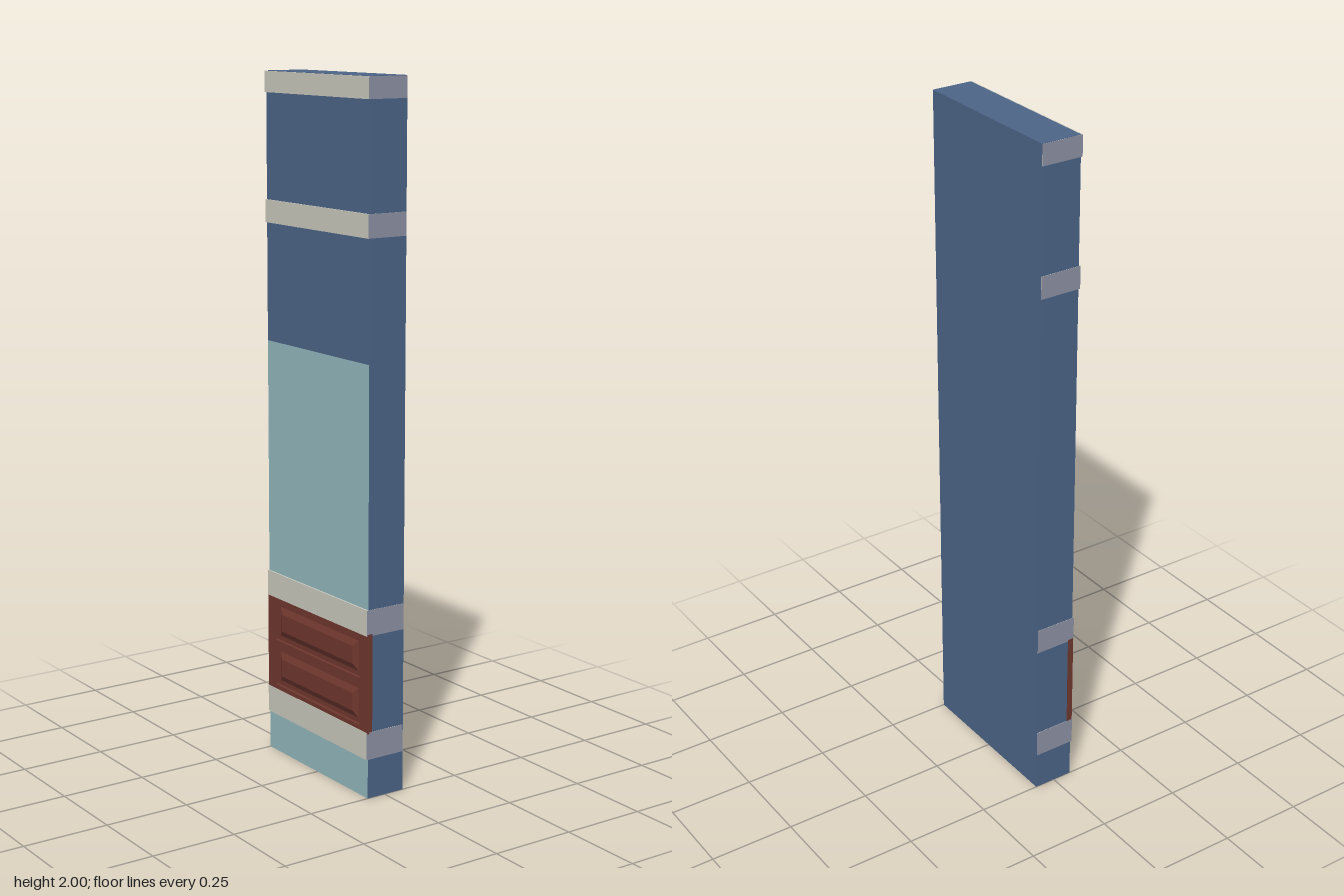
import * as THREE from 'three';

const X0 = -0.063; // outermost trim face
const XW = -0.058; // plain wall face
const X1 = 0.063;
const HALF = 0.25; // half length along z

const mat = (name, color) => {
  const m = new THREE.MeshStandardMaterial({ color });
  m.name = name;
  return m;
};

export function createModel() {
  const group = new THREE.Group();
  const blue = mat('wall blue', 0x4c6588);
  const teal = mat('wallpaper teal', 0x93b9be);
  const trim = mat('trim warm grey', 0xcac9be);
  const trimEnd = mat('trim end grey', 0x8f93a6);
  const wood = mat('red wood', 0x70382f);

  // Box given by its limits
  const box = (name, x, y, z, material) => {
    const g = new THREE.BoxGeometry(x[1] - x[0], y[1] - y[0], z[1] - z[0]);
    g.translate((x[0] + x[1]) / 2, (y[0] + y[1]) / 2, (z[0] + z[1]) / 2);
    const mesh = new THREE.Mesh(g, material);
    mesh.name = name;
    group.add(mesh);
    return mesh;
  };
  const full = [-HALF, HALF];

  // Wall core, set back behind the wooden panelling (sides: +x -x +y -y +z -z)
  box('wallBase', [XW, X1], [0, 0.15], full, [blue, teal, blue, wood, blue, blue]);
  box('wallBehindPanelling', [-0.045, X1], [0.15, 0.5], full, blue);
  box('wallMiddle', [XW, X1], [0.5, 1.235], full, [blue, teal, blue, blue, blue, blue]);
  box('wallTop', [XW, X1], [1.235, 2], full, blue);

  // Trim bands, proud of the wall and showing on both ends
  const bands = { baseRail: [0.115, 0.195], chairRail: [0.475, 0.55], pictureRail: [1.575, 1.64], crownRail: [1.94, 1.999] };
  for (const [name, y] of Object.entries(bands)) {
    box(name, [X0, X1 - 0.001], y, [-HALF - 0.001, HALF + 0.001],
      [trim, trim, trim, trim, trimEnd, trimEnd]);
  }

  // Wooden panelling: backing, stiles and rails
  const y0 = 0.19, y1 = 0.48, zi = 0.215;
  const zw = HALF + 0.001;
  box('panelBacking', [-0.053, -0.044], [y0, y1], [-zw, zw], wood);
  for (const s of [-1, 1]) {
    box('panelStile', [-0.062, -0.052], [y0, y1], s < 0 ? [-zw, -zi] : [zi, zw], wood);
  }
  for (const y of [[y0, 0.208], [0.324, 0.346], [0.462, y1]]) {
    box('panelRail', [-0.062, -0.052], y, [-zi, zi], wood);
  }

  // Raised fields: boxes whose outer face is drawn in to make bevels
  const bevelField = (yc, h) => {
    const field = box('raisedField', [-0.0615, -0.052], [yc - h / 2, yc + h / 2], [-0.2, 0.2], wood);
    const p = field.geometry.attributes.position;
    for (let i = 0; i < p.count; i++) {
      if (p.getX(i) > -0.055) continue;
      p.setY(i, p.getY(i) - Math.sign(p.getY(i) - yc) * 0.02);
      p.setZ(i, p.getZ(i) - Math.sign(p.getZ(i)) * 0.02);
    }
    field.geometry.computeVertexNormals();
  };
  for (const yc of [0.266, 0.404]) bevelField(yc, 0.092);

  return group;
}
